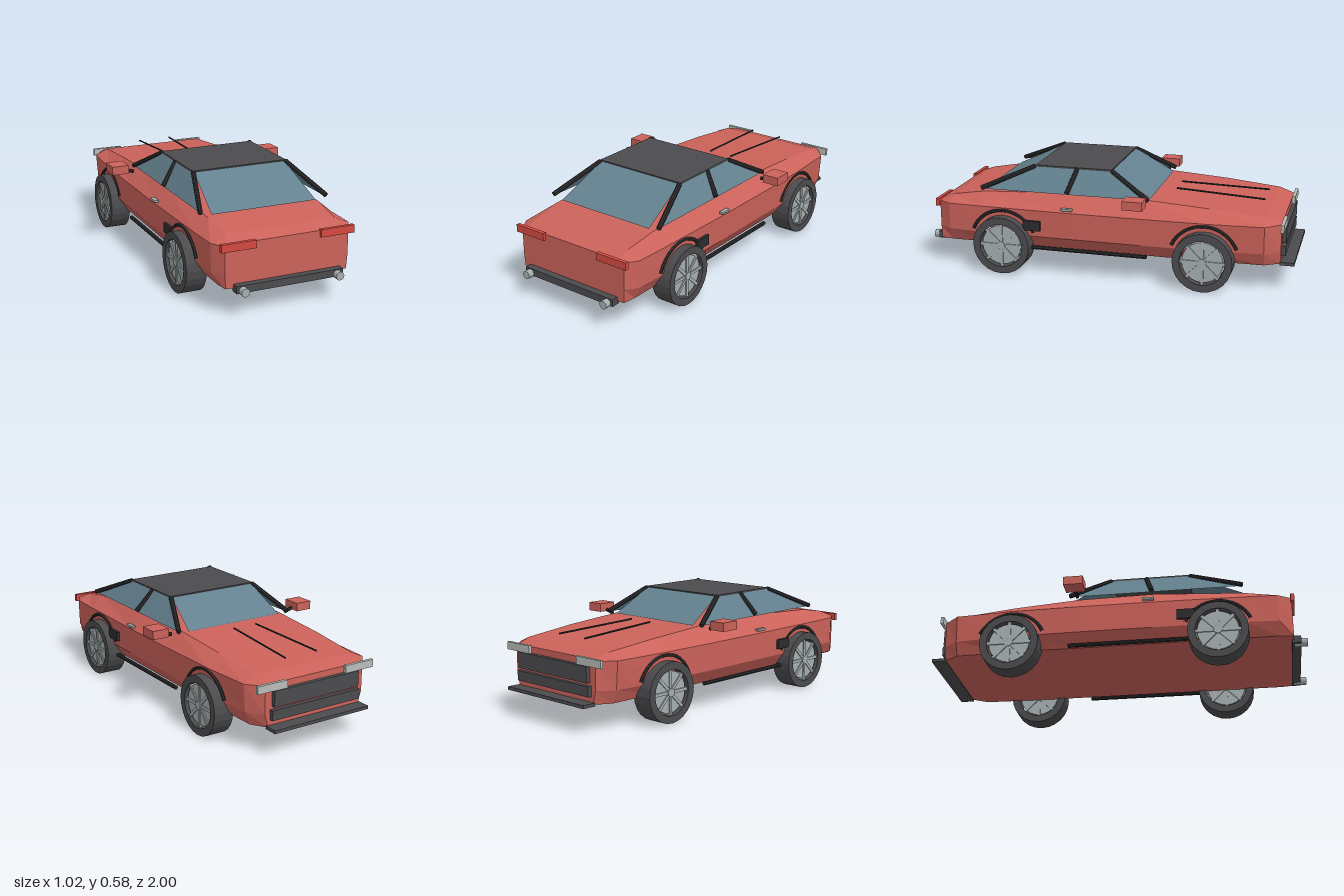
import * as THREE from 'three';

const mat = (name, color, extra = {}) => {
  const m = new THREE.MeshStandardMaterial({ color, flatShading: true, ...extra });
  m.name = name;
  return m;
};

export function createModel() {
  const car = new THREE.Group();
  car.name = 'car';
  const paint = mat('redPaint', 0xcb625a);
  const lampRed = mat('tailLampRed', 0xd44a42);
  const glass = mat('blueGlass', 0x64818f, { side: THREE.DoubleSide });
  const rubber = mat('darkGrey', 0x4b4a4d);
  const trim = mat('blackTrim', 0x2c2c2e);
  const metal = mat('lightMetal', 0xa6afb0);
  const lampClear = mat('clearLamp', 0xb9bdba);

  const add = (name, geo, material, parent = car) => {
    const m = new THREE.Mesh(geo, material);
    m.name = name;
    parent.add(m);
    return m;
  };
  // Box from its min and max corners
  const box = (name, material, [x0, y0, z0], [x1, y1, z1]) => {
    const m = add(name, new THREE.BoxGeometry(x1 - x0, y1 - y0, z1 - z0), material);
    m.position.set((x0 + x1) / 2, (y0 + y1) / 2, (z0 + z1) / 2);
    return m;
  };
  // Round bar between two points
  const rod = (name, material, a, b, r, sides = 8) => {
    const p = new THREE.Vector3(...a), q = new THREE.Vector3(...b);
    const m = add(name, new THREE.CylinderGeometry(r, r, p.distanceTo(q), sides), material);
    m.position.copy(p).add(q).multiplyScalar(0.5);
    m.quaternion.setFromUnitVectors(new THREE.Vector3(0, 1, 0), q.sub(p).normalize());
    return m;
  };
  const quad = (name, material, pts) => {
    const g = new THREE.BufferGeometry();
    g.setAttribute('position', new THREE.Float32BufferAttribute(pts.flat(), 3));
    g.setIndex([0, 1, 2, 0, 2, 3]);
    g.computeVertexNormals();
    return add(name, g, material);
  };

  // Body lofted along z: [z, bottom, lower side, upper side, top half widths, top height]
  const sections = [
    [-0.93, 0.28, 0.30, 0.30, 0.28, 0.362],
    [-0.85, 0.33, 0.36, 0.37, 0.30, 0.386],
    [-0.55, 0.34, 0.385, 0.39, 0.31, 0.414],
    [-0.20, 0.34, 0.39, 0.395, 0.315, 0.437],
    [0.20, 0.34, 0.39, 0.395, 0.315, 0.443],
    [0.68, 0.34, 0.385, 0.385, 0.31, 0.418],
    [0.86, 0.34, 0.375, 0.378, 0.30, 0.387],
    [0.93, 0.33, 0.335, 0.335, 0.30, 0.362],
  ];
  const pos = [], idx = [];
  for (const [z, b, lo, hi, t, top] of sections) {
    const half = [[b, 0.14], [lo, 0.21], [hi, 0.355], [t, top]];
    for (const [x, y] of half) pos.push(x, y, z);
    for (const [x, y] of half.reverse()) pos.push(-x, y, z);
  }
  const last = (sections.length - 1) * 8;
  for (let s = 0; s < last; s += 8) {
    for (let i = 0; i < 8; i++) {
      const a = s + i, b = s + (i + 1) % 8;
      idx.push(a, b, b + 8, a, b + 8, a + 8);
    }
  }
  for (let i = 1; i < 7; i++) idx.push(0, i + 1, i, last, last + i, last + i + 1);
  const bodyGeo = new THREE.BufferGeometry();
  bodyGeo.setAttribute('position', new THREE.Float32BufferAttribute(pos, 3));
  bodyGeo.setIndex(idx);
  bodyGeo.computeVertexNormals();
  add('body', bodyGeo, paint);

  // Roof and glass
  box('roof', rubber, [-0.268, 0.56, -0.025], [0.268, 0.572, 0.398]);
  quad('windshield', glass, [[0.29, 0.438, -0.24], [-0.29, 0.438, -0.24], [-0.26, 0.566, -0.025], [0.26, 0.566, -0.025]]);
  quad('rearWindow', glass, [[-0.29, 0.43, 0.68], [0.29, 0.43, 0.68], [0.26, 0.566, 0.398], [-0.26, 0.566, 0.398]]);

  // Wheel profile and slotted rim face
  const tyreGeo = new THREE.LatheGeometry(
    [[0.118, -0.055], [0.157, -0.055], [0.157, 0.055], [0.118, 0.055], [0.118, -0.055]]
      .map(([x, y]) => new THREE.Vector2(x, y)), 24);
  tyreGeo.rotateZ(Math.PI / 2);

  for (const s of [1, -1]) {
    const side = s > 0 ? 'left' : 'right';
    quad(side + 'SideWindow', glass, [[s * 0.345, 0.442, 0.67], [s * 0.345, 0.442, -0.23], [s * 0.266, 0.566, -0.025], [s * 0.266, 0.566, 0.398]]);
    // Pillars
    rod(side + 'FrontPillar', trim, [s * 0.35, 0.445, -0.24], [s * 0.264, 0.565, -0.025], 0.013);
    rod(side + 'MiddlePillar', trim, [s * 0.35, 0.45, 0.2], [s * 0.264, 0.565, 0.165], 0.013);
    rod(side + 'RearPillar', trim, [s * 0.35, 0.447, 0.68], [s * 0.264, 0.565, 0.4], 0.013);
    // Mirror
    const m0 = s > 0 ? 0.415 : -0.508;
    box(side + 'Mirror', paint, [m0, 0.432, -0.247], [m0 + 0.093, 0.478, -0.143]);
    rod(side + 'MirrorArm', trim, [s * 0.37, 0.426, -0.195], [s * 0.42, 0.44, -0.195], 0.01);
    // Lamps and exhausts
    const lamp = (name, material, a, b, y0, y1, z0, z1) =>
      box(name, material, [s > 0 ? a : -b, y0, z0], [s > 0 ? b : -a, y1, z1]);
    lamp(side + 'TailLamp', lampRed, 0.175, 0.36, 0.33, 0.37, 0.925, 0.945);
    lamp(side + 'Headlamp', lampClear, 0.18, 0.355, 0.328, 0.368, -0.947, -0.93);
    rod(side + 'Exhaust', metal, [s * 0.257, 0.135, 0.93], [s * 0.257, 0.135, 1.0], 0.022, 12);
    // Side details
    lamp(side + 'SideVent', trim, 0.37, 0.405, 0.245, 0.298, 0.335, 0.43);
    lamp(side + 'DoorHandle', metal, 0.385, 0.406, 0.369, 0.38, 0.157, 0.218);
    rod(side + 'SideSkirt', trim, [s * 0.37, 0.142, -0.24], [s * 0.37, 0.142, 0.41], 0.011);
    rod(side + 'HoodStrip', trim, [s * 0.097, 0.424, -0.815], [s * 0.07, 0.443, -0.335], 0.005, 6);

    for (const z of [-0.545, 0.547]) {
      const wheel = new THREE.Group();
      wheel.name = side + (z < 0 ? 'Front' : 'Rear') + 'Wheel';
      wheel.position.set(s * 0.38, 0.157, z);
      car.add(wheel);
      add('tyre', tyreGeo, rubber, wheel);
      const rim = add('rim', new THREE.CylinderGeometry(0.108, 0.108, 0.08, 24), metal, wheel);
      rim.rotation.z = Math.PI / 2;
      const hub = add('hub', new THREE.CylinderGeometry(0.022, 0.022, 0.102, 12), metal, wheel);
      hub.rotation.z = Math.PI / 2;
      for (let i = 0; i < 8; i++) {
        const a = i * Math.PI / 4;
        const spoke = add('spoke', new THREE.BoxGeometry(0.092, 0.105, 0.016), metal, wheel);
        spoke.position.set(0, Math.cos(a) * 0.066, Math.sin(a) * 0.066);
        spoke.rotation.x = a;
      }
      // Wheel arch trim
      const arch = add(wheel.name + 'Arch', new THREE.TorusGeometry(0.184, 0.009, 6, 16, Math.PI * 0.74), trim);
      arch.rotation.set(0, Math.PI / 2, Math.PI * 0.13);
      arch.position.set(s * 0.388, 0.157, z);
    }
  }

  // Bumpers and grille
  box('rearBumper', rubber, [-0.29, 0.122, 0.92], [0.29, 0.16, 0.967]);
  box('frontBumper', rubber, [-0.29, 0.133, -1.0], [0.29, 0.15, -0.925]);
  box('upperGrille', rubber, [-0.26, 0.245, -0.952], [0.26, 0.328, -0.925]);
  box('lowerGrille', rubber, [-0.27, 0.178, -0.952], [0.27, 0.23, -0.925]);
  return car;
}
